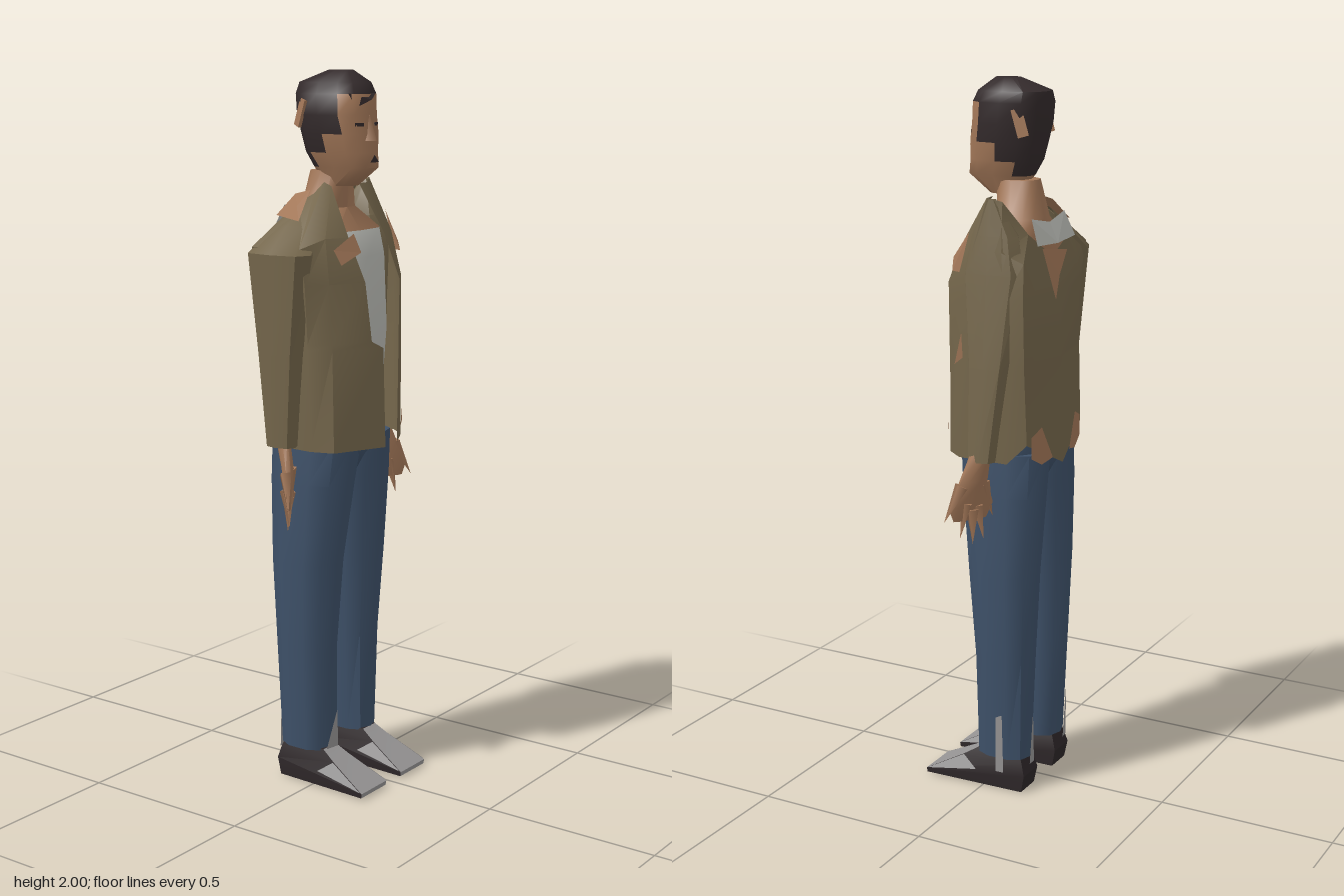
import * as THREE from 'three';
import { toCreasedNormals } from 'three/addons/utils/BufferGeometryUtils.js';

const mat = (name, color, side = THREE.FrontSide) => {
  const m = new THREE.MeshStandardMaterial({ color, side });
  m.name = name;
  return m;
};

// Superellipse cross-section between x0..x1 and z0..z1, starting at the front
function ring(y, x0, x1, z0, z1, n = 10, p = 0.8) {
  const pw = v => Math.sign(v) * Math.pow(Math.abs(v), p);
  return Array.from({ length: n }, (_, j) => {
    const a = j / n * Math.PI * 2;
    return [(x0 + x1) / 2 + (x1 - x0) / 2 * pw(Math.sin(a)), y,
      (z0 + z1) / 2 + (z1 - z0) / 2 * pw(Math.cos(a))];
  });
}

// Skin a stack of cross-sections; pick(row, column) chooses the material
function loft(name, rings, mats, { open = false, pick = () => 0, crease = 0.8 } = {}) {
  const list = [mats].flat();
  const buckets = list.map(() => []);
  const n = rings[0].length, last = rings.length - 1;
  for (let i = 0; i < last; i++) {
    for (let j = 0; j < (open ? n - 1 : n); j++) {
      const k = (j + 1) % n;
      const A = rings[i][j], B = rings[i][k], C = rings[i + 1][k], D = rings[i + 1][j];
      buckets[pick(i, j)].push(...A, ...B, ...C, ...A, ...C, ...D);
    }
  }
  if (!open) {
    const mid = r => [0, 1, 2].map(c => r.reduce((s, p) => s + p[c], 0) / n);
    const lo = mid(rings[0]), hi = mid(rings[last]);
    for (let j = 0; j < n; j++) {
      const k = (j + 1) % n;
      buckets[pick(-1, j)].push(...lo, ...rings[0][k], ...rings[0][j]);
      buckets[pick(last, j)].push(...hi, ...rings[last][j], ...rings[last][k]);
    }
  }
  const g = new THREE.BufferGeometry();
  g.setAttribute('position', new THREE.Float32BufferAttribute(buckets.flat(), 3));
  let start = 0;
  buckets.forEach((b, m) => {
    if (b.length) g.addGroup(start, b.length / 3, m);
    start += b.length / 3;
  });
  g.computeVertexNormals();
  const mesh = new THREE.Mesh(toCreasedNormals(g, crease), list);
  mesh.name = name;
  return mesh;
}

// Flat patch fanned from its first corner
function patch(name, material, pts) {
  const v = [];
  for (let i = 1; i < pts.length - 1; i++) v.push(...pts[0], ...pts[i], ...pts[i + 1]);
  const g = new THREE.BufferGeometry();
  g.setAttribute('position', new THREE.Float32BufferAttribute(v, 3));
  g.computeVertexNormals();
  const mesh = new THREE.Mesh(g, material);
  mesh.name = name;
  return mesh;
}

export function createModel() {
  const root = new THREE.Group();
  root.name = 'standingMan';
  const both = THREE.DoubleSide;
  const skin = mat('skin', 0xa27758, both), hair = mat('hair', 0x332a2b);
  const jacket = mat('jacketCloth', 0x74664b, both), denim = mat('denim', 0x3e5169);
  const shirt = mat('shirtCloth', 0xbabbb5, both);
  const shoeGrey = mat('shoeGrey', 0x969494, both), shoeDark = mat('shoeDark', 0x2d2628);

  // Head with hair painted by row and column
  const head = [
    ring(1.69, -0.04, 0.03, -0.04, 0.045, 12),
    ring(1.74, -0.062, 0.05, -0.08, 0.11, 12),
    ring(1.78, -0.08, 0.066, -0.1, 0.102, 12),
    ring(1.83, -0.09, 0.076, -0.112, 0.1, 12),
    ring(1.88, -0.1, 0.083, -0.122, 0.092, 12),
    ring(1.935, -0.094, 0.085, -0.13, 0.088, 12),
    ring(1.965, -0.07, 0.08, -0.13, 0.07, 12),
    ring(1.998, -0.025, 0.02, -0.04, 0.03, 12)
  ];
  const hairFrom = [9, 4, 3, 2, 2, 0, 0, 0];
  root.add(loft('head', head, [skin, hair], {
    crease: 1.1,
    pick: (i, j) => (i >= 0 && j >= hairFrom[i] && j <= 11 - hairFrom[i] ? 1 : 0)
  }));
  const nose = new THREE.Mesh(new THREE.ConeGeometry(0.024, 0.07, 4), skin);
  nose.name = 'nose';
  nose.position.set(-0.008, 1.847, 0.093);
  root.add(nose);
  for (const s of [-1, 1]) {
    const eye = new THREE.Mesh(new THREE.BoxGeometry(0.028, 0.009, 0.009), hair);
    eye.name = 'eye';
    eye.position.set(-0.008 + s * 0.038, 1.855, 0.084);
    eye.rotation.y = s * 0.35;
    const ear = new THREE.Mesh(new THREE.BoxGeometry(0.009, 0.075, 0.03), skin);
    ear.name = 'ear';
    ear.position.set(-0.008 + s * 0.079, 1.885, -0.078);
    ear.rotation.set(0.3, s * 0.5, 0);
    root.add(eye, ear);
  }
  root.add(
    patch('mouth', hair, [[-0.028, 1.755, 0.11], [0.012, 1.755, 0.11], [-0.008, 1.775, 0.11]]),
    patch('forelock', hair, [[-0.07, 1.937, 0.067], [-0.05, 1.9, 0.08], [0, 1.92, 0.095], [0.03, 1.937, 0.086]])
  );

  // Neck, shoulders and shirt
  root.add(loft('torso', [
    ring(1.0, -0.14, 0.14, -0.14, 0.078, 12),
    ring(1.3, -0.15, 0.15, -0.14, 0.1, 12),
    ring(1.5, -0.16, 0.15, -0.135, 0.085, 12, 0.7),
    ring(1.57, -0.15, 0.145, -0.13, 0.06, 12, 0.6),
    ring(1.63, -0.075, 0.085, -0.118, 0.01, 12),
    ring(1.73, -0.05, 0.045, -0.095, 0.02, 12)
  ], [shirt, skin], { pick: (i, j) => (i > 2 || (i > 1 && j > 1 && j < 10) ? 1 : 0) }));
  root.add(patch('shirtBackCollar', shirt, [[0, 1.565, -0.158], [-0.118, 1.57, -0.15], [-0.1, 1.638, -0.125],
    [0, 1.62, -0.132], [0.095, 1.638, -0.127], [0.108, 1.57, -0.152]]));

  // Open jacket: each section runs from the left front edge round the back
  const section = (y, xz) => xz.map(([x, z, yy]) => [x, yy ?? y, z]);
  const middle = [[0.042, 0.157], [0.145, 0.095], [0.188, 0.04], [0.195, -0.095], [0.18, -0.15],
    [0.02, -0.179], [-0.14, -0.155], [-0.2, -0.1], [-0.21, 0.035], [-0.18, 0.095]];
  root.add(loft('jacketBody', [
    section(0.985, [[0.04, 0.155], [0.14, 0.1], [0.18, 0.05], [0.185, -0.1], [0.17, -0.154, 1.04],
      [0.01, -0.182, 0.96], [-0.15, -0.156, 1.04], [-0.19, -0.1], [-0.2, 0.035], [-0.18, 0.1], [-0.03, 0.165]]),
    section(1.26, [...middle, [-0.035, 0.16]]),
    section(1.28, [...middle, [-0.068, 0.145]]),
    section(1.44, [[0.045, 0.157], [0.15, 0.09], [0.19, 0.04], [0.2, -0.1], [0.188, -0.151],
      [0.02, -0.175], [-0.14, -0.153], [-0.23, -0.118], [-0.235, 0.045], [-0.18, 0.085], [-0.078, 0.13]]),
    section(1.56, [[0.06, 0.095], [0.145, 0.06], [0.19, 0], [0.195, -0.09], [0.17, -0.143, 1.53],
      [0.02, -0.158, 1.48], [-0.13, -0.145, 1.52], [-0.25, -0.12, 1.535], [-0.24, 0.03, 1.535], [-0.17, 0.065], [-0.1, 0.09]]),
    section(1.69, [[0.075, 0], [0.13, -0.01], [0.18, -0.04, 1.7], [0.17, -0.08], [0.11, -0.125, 1.6],
      [0.01, -0.147, 1.53], [-0.11, -0.13, 1.57], [-0.11, -0.08, 1.64], [-0.08, -0.04, 1.67],
      [-0.06, -0.02, 1.7], [-0.055, 0]])
  ], jacket, { open: true, crease: 0.7 }));

  // Sleeves
  root.add(loft('rightSleeve', [
    ring(0.995, -0.252, -0.19, -0.09, 0, 8),
    ring(1.25, -0.264, -0.18, -0.115, 0.025, 8),
    ring(1.52, -0.276, -0.16, -0.14, 0.055, 8, 0.6),
    ring(1.59, -0.185, -0.1, -0.115, 0.01, 8),
    ring(1.66, -0.085, -0.065, -0.06, -0.02, 8)
  ], jacket));
  root.add(loft('leftSleeve', [
    ring(0.995, 0.185, 0.243, -0.08, 0, 8),
    ring(1.25, 0.16, 0.225, -0.11, 0.01, 8),
    ring(1.5, 0.12, 0.205, -0.14, 0.04, 8),
    ring(1.6, 0.11, 0.193, -0.118, 0.02, 8),
    ring(1.695, 0.16, 0.18, -0.06, -0.035, 8)
  ], jacket));

  // Worn skin-coloured patches on the jacket
  root.add(
    patch('chestPatch', skin, [[-0.16, 1.53, 0.085], [-0.15, 1.49, 0.103], [-0.08, 1.52, 0.118], [-0.09, 1.57, 0.1]]),
    patch('shoulderPatch', skin, [[0.195, 1.61, 0.005], [0.197, 1.5, 0.035], [0.183, 1.5, 0.065], [0.15, 1.53, 0.08]]),
    patch('rightShoulderPatch', skin, [[-0.195, 1.605, -0.005], [-0.15, 1.64, -0.045], [-0.09, 1.68, -0.045],
      [-0.09, 1.668, -0.095], [-0.14, 1.612, -0.122]]),
    patch('sidePatch', skin, [[0.2, 1.25, 0.05], [0.2, 1.27, 0.025], [0.207, 1.34, 0.025]]),
    patch('hemPatch', skin, [[0.085, 1.02, 0.136], [0.13, 1.03, 0.111], [0.115, 1.065, 0.12]]),
    patch('backPatch', skin, [[0.08, 1.56, -0.152], [0.05, 1.42, -0.178], [0.01, 1.48, -0.168], [-0.06, 1.54, -0.155]])
  );
  // Skin showing where the back hem lifts
  for (const s of [-1, 1]) {
    const at = (d, y) => [0.01 + s * d, y, -0.185 + 0.165 * d];
    root.add(patch('backHemPatch', skin, [at(0.05, 0.985), at(0.1, 0.975), at(0.145, 1.0), at(0.145, 1.06), at(0.1, 1.08)]));
  }

  // Flared hands with pointed fingers, turned outward at the front
  for (const s of [-1, 1]) {
    const hand = new THREE.Group();
    hand.name = s > 0 ? 'leftHand' : 'rightHand';
    const span = (y, a, b, z0, z1) => ring(y, Math.min(s * a, s * b), Math.max(s * a, s * b), z0, z1, 8, 1)
      .map(([x, yy, z]) => [x, yy, z + (s * x - 0.225) * 0.6]);
    hand.add(loft('palm', [span(0.83, 0.188, 0.275, -0.025, -0.008),
      span(0.87, 0.172, 0.29, -0.033, -0.005), span(0.94, 0.193, 0.262, -0.045, -0.002),
      span(1.02, 0.205, 0.238, -0.065, -0.015)], skin));
    [[0.172, -0.05, 0.83], [0.205, -0.04, 0.77], [0.23, -0.02, 0.76], [0.255, 0.005, 0.78], [0.295, 0.032, 0.83]]
      .forEach(([x, z, y], i) => {
        const tip = new THREE.Vector3(s * x, y, z);
        const base = new THREE.Vector3(s * (0.2 + i * 0.015), y + 0.1, -0.035 + i * 0.008);
        const dir = tip.clone().sub(base);
        const finger = new THREE.Mesh(new THREE.ConeGeometry(0.02, dir.length(), 4), skin);
        finger.name = 'finger';
        finger.position.copy(base).addScaledVector(dir, 0.5);
        finger.quaternion.setFromUnitVectors(new THREE.Vector3(0, 1, 0), dir.normalize());
        hand.add(finger);
      });
    root.add(hand);
  }

  // Trousers: two legs running up into the waist
  root.add(loft('waist', [ring(0.9, -0.05, 0.05, -0.12, 0.04, 12),
    ring(0.98, -0.174, 0.167, -0.163, 0.086, 12), ring(1.05, -0.165, 0.16, -0.155, 0.09, 12)], denim, { crease: 1.2 }));
  const legs = {
    rightLeg: [[-0.155, -0.03], [-0.168, -0.028], [-0.18, -0.018], [-0.178, 0.008], [-0.173, 0.03]],
    leftLeg: [[0.047, 0.155], [0.035, 0.172], [0.02, 0.182], [-0.008, 0.173], [-0.03, 0.167]]
  };
  const legRows = [[0.1, -0.13, 0.027], [0.4, -0.14, 0.03], [0.65, -0.15, 0.05], [0.88, -0.16, 0.077], [1.0, -0.162, 0.088]];
  for (const [name, xs] of Object.entries(legs)) {
    root.add(loft(name, xs.map(([a, b], i) => ring(legRows[i][0], a, b, legRows[i][1], legRows[i][2])), denim));
  }
  root.add(
    patch('rightAnklePatch', shoeGrey, [[-0.12, 0.1, 0.029], [-0.07, 0.1, 0.033], [-0.075, 0.21, 0.034]]),
    patch('leftAnklePatch', shoeGrey, [[0.158, 0.06, -0.075], [0.158, 0.06, -0.05], [0.167, 0.23, -0.055], [0.167, 0.24, -0.075]]),
    patch('rightHeelPatch', shoeGrey, [[-0.13, 0.08, -0.129], [-0.1, 0.08, -0.134], [-0.11, 0.24, -0.139]]),
    patch('leftHeelPatch', shoeGrey, [[0.08, 0.08, -0.133], [0.11, 0.08, -0.135], [0.1, 0.24, -0.14]])
  );

  // Wedge shoes: grey toe, dark ankle, heel and sole
  for (const s of [-1, 1]) {
    const c = s < 0 ? -0.1 : 0.095;
    const quad = (y, yBack, w, wb, f, b) => [[c - w, y, f], [c + w, y, f], [c + wb, yBack, b], [c - wb, yBack, b]];
    root.add(loft(s > 0 ? 'leftShoe' : 'rightShoe', [
      quad(0.005, 0, 0.06, 0.04, 0.178, -0.12),
      quad(0.018, 0.05, 0.061, 0.042, 0.18, -0.13),
      quad(0.078, 0.085, 0.039, 0.036, 0.068, -0.12),
      quad(0.105, 0.11, 0.03, 0.03, 0.025, -0.11)
    ], [shoeDark, shoeGrey], { crease: 0.3, pick: (i, j) => (j === 0 && i >= 0 && i < 3 ? 1 : 0) }));
    for (const e of [-1, 1]) root.add(patch('shoeSideFlash', shoeGrey,
      [[c + e * 0.0625, 0.02, 0.176], [c + e * 0.0535, 0.046, 0.02], [c + e * 0.041, 0.078, 0.066]]));
  }
  return root;
}
